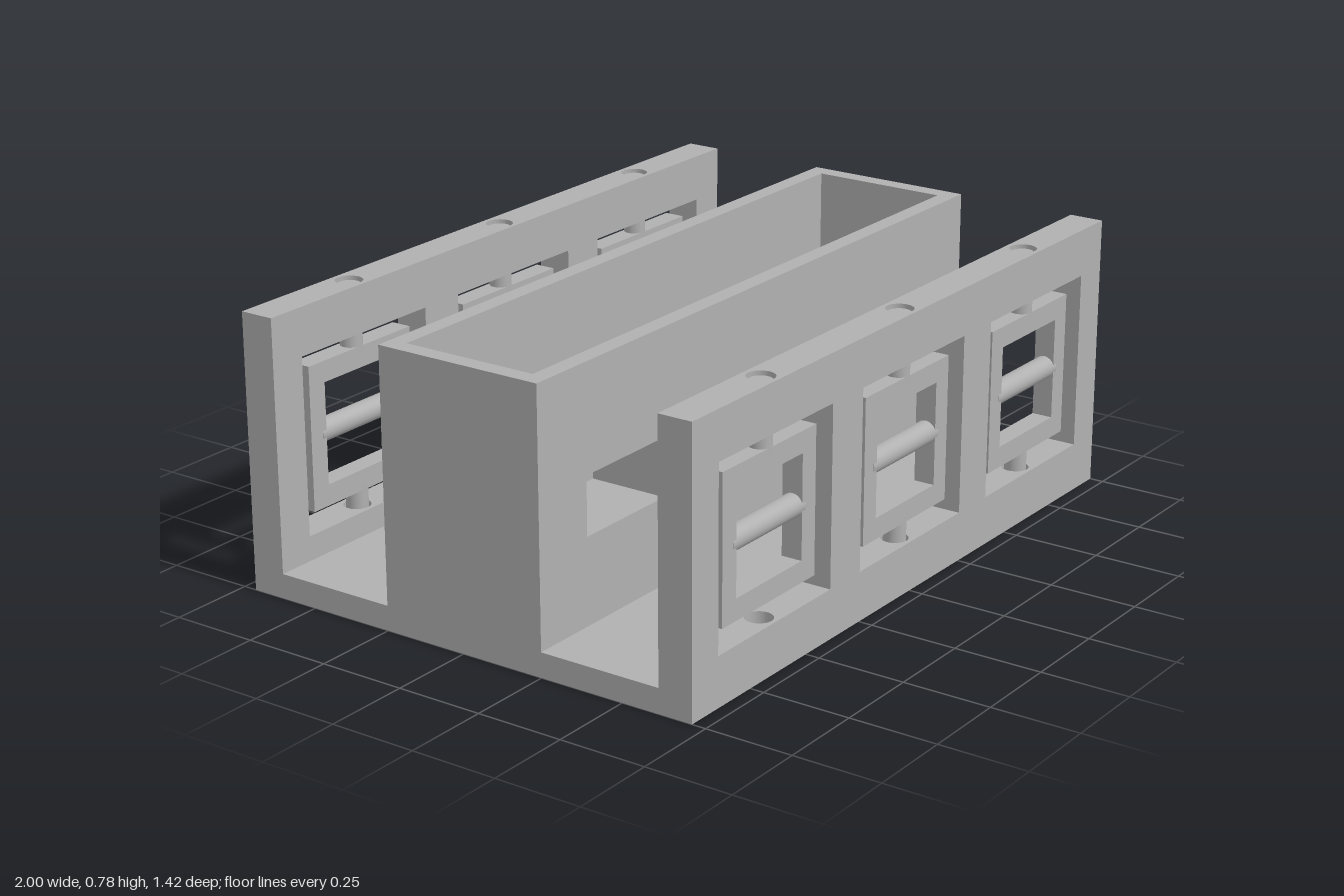
import * as THREE from 'three';

const grey = new THREE.MeshStandardMaterial({ color: 0xb0b0b0 });
grey.name = 'grey plastic';
const COLUMNS = [-0.64, 0, 0.64];

function add(parent, name, geometry) {
  const mesh = new THREE.Mesh(geometry, grey);
  mesh.name = name;
  parent.add(mesh);
  return mesh;
}

// box given by its limits on each axis
function block(parent, name, x0, x1, y0, y1, z0, z1) {
  const mesh = add(parent, name, new THREE.BoxGeometry(x1 - x0, y1 - y0, z1 - z0));
  mesh.position.set((x0 + x1) / 2, (y0 + y1) / 2, (z0 + z1) / 2);
  return mesh;
}

function rect(Type, x0, x1, y0, y1) {
  return new Type([[x0, y0], [x1, y0], [x1, y1], [x0, y1]].map(([x, y]) => new THREE.Vector2(x, y)));
}

function extrude(shape, depth) {
  return new THREE.ExtrudeGeometry(shape, { depth, bevelEnabled: false, curveSegments: 24 });
}

// horizontal rail with a round bore at each column
function boredRail(parent, name, y0, y1, z) {
  const shape = rect(THREE.Shape, -1, 1, -0.05, 0.05);
  for (const x of COLUMNS) shape.holes.push(new THREE.Path().absarc(x, 0, 0.038, 0, Math.PI * 2));
  const geometry = extrude(shape, y1 - y0);
  geometry.rotateX(-Math.PI / 2);
  add(parent, name, geometry).position.set(0, y0, z);
}

function pin(parent, name, radius, x, y0, y1, z) {
  add(parent, name, new THREE.CylinderGeometry(radius, radius, y1 - y0, 28)).position.set(x, (y0 + y1) / 2, z);
}

// outer wall with three windows, each holding a pivoting frame and a perch bar
function buildWall(side) {
  const wall = new THREE.Group();
  wall.name = side > 0 ? 'frontWall' : 'backWall';
  const z = side * 0.66;
  block(wall, 'wallFoot', -1, 1, 0.07, 0.1, z - 0.05, z + 0.05);
  boredRail(wall, 'lowerRail', 0.1, 0.14, z);
  boredRail(wall, 'upperRail', 0.645, 0.78, z);
  for (const [x0, x1] of [[-1, -0.89], [-0.39, -0.25], [0.25, 0.39], [0.89, 1]]) {
    block(wall, 'post', x0, x1, 0.14, 0.645, z - 0.05, z + 0.05);
  }
  for (const x of COLUMNS) {
    const shape = rect(THREE.Shape, -0.205, 0.205, -0.205, 0.205);
    shape.holes.push(rect(THREE.Path, -0.145, 0.145, -0.145, 0.145));
    add(wall, 'pivotFrame', extrude(shape, 0.06)).position.set(x, 0.395, z - 0.03);
    pin(wall, 'upperPin', 0.031, x, 0.58, 0.77, z);
    // one corner has an open bore instead of a lower pin
    if (side < 0 || x >= 0) pin(wall, 'lowerPin', 0.031, x, 0.1, 0.21, z);
    const bar = add(wall, 'crossBar', new THREE.CylinderGeometry(0.032, 0.032, 0.32, 28));
    bar.rotation.z = Math.PI / 2;
    bar.position.set(x, 0.395, z);
  }
  return wall;
}

// central open trough with slotted sides and a pocket housing behind each slot
function buildTrough() {
  const trough = new THREE.Group();
  trough.name = 'trough';
  for (const side of [-1, 1]) {
    block(trough, 'endWall', side > 0 ? 0.95 : -1, side > 0 ? 1 : -0.95, 0.07, 0.78, -0.2, 0.2);
    const shape = rect(THREE.Shape, -1, 1, 0.07, 0.78);
    for (const x of COLUMNS) shape.holes.push(rect(THREE.Path, x - 0.165, x + 0.165, 0.315, 0.48));
    add(trough, 'slottedWall', extrude(shape, 0.05)).position.z = side > 0 ? 0.2 : -0.25;
  }
  for (const x of COLUMNS) {
    block(trough, 'housingBase', x - 0.21, x + 0.21, 0.07, 0.315, -0.2, 0.2);
    block(trough, 'housingRoof', x - 0.21, x + 0.21, 0.48, 0.53, -0.2, 0.2);
    block(trough, 'housingSide', x - 0.21, x - 0.165, 0.315, 0.48, -0.2, 0.2);
    block(trough, 'housingSide', x + 0.165, x + 0.21, 0.315, 0.48, -0.2, 0.2);
    block(trough, 'housingDivider', x - 0.165, x + 0.165, 0.315, 0.48, -0.02, 0.02);
  }
  return trough;
}

export function createModel() {
  const model = new THREE.Group();
  model.name = 'slottedTroughHousing';
  block(model, 'base', -1, 1, 0, 0.07, -0.71, 0.71);
  model.add(buildWall(1), buildWall(-1), buildTrough());
  return model;
}
